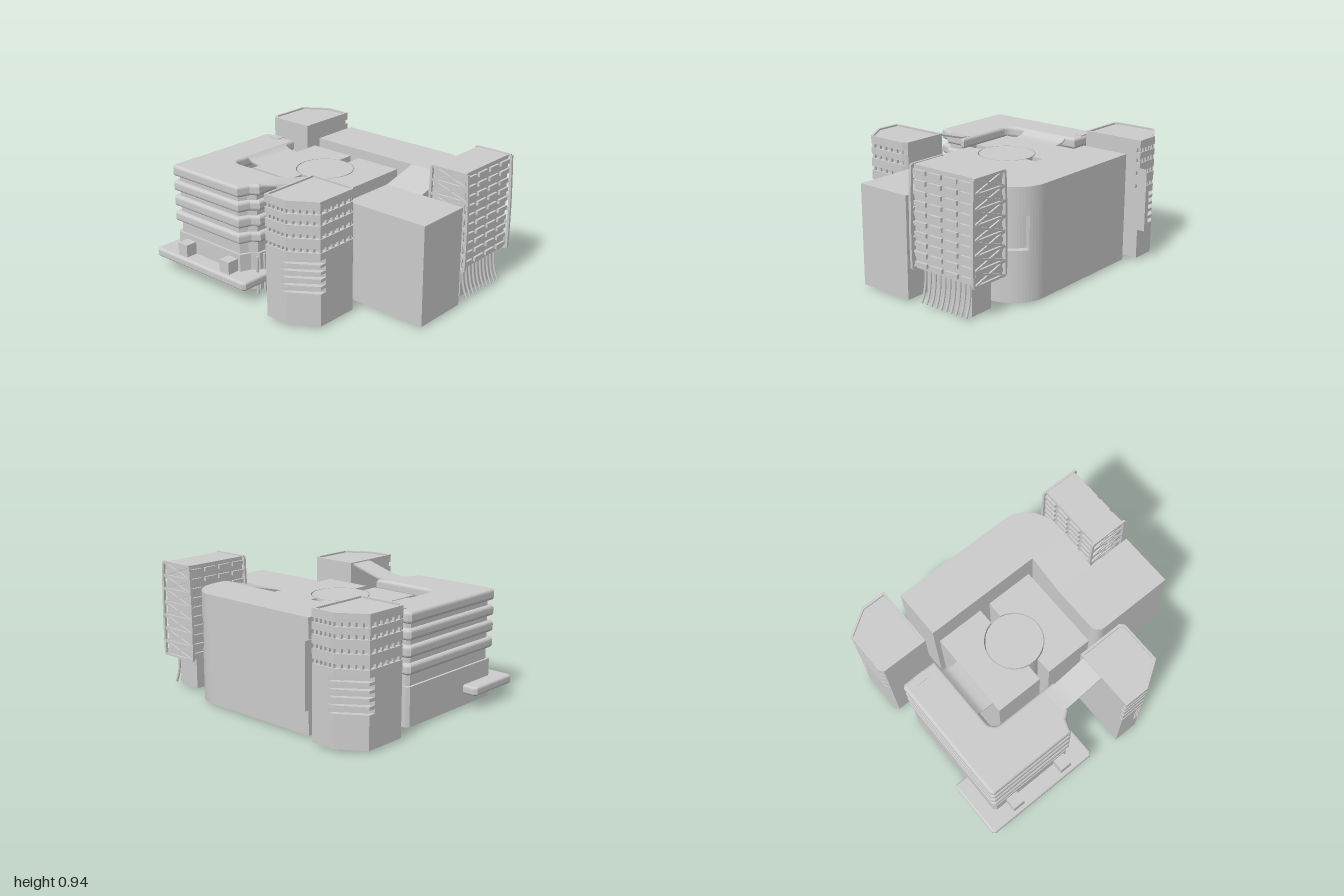
import * as THREE from 'three';

const mat = new THREE.MeshStandardMaterial({ color: 0xcccccc, side: THREE.DoubleSide });

function add(parent, geo, name, x = 0, y = 0, z = 0) {
  const m = new THREE.Mesh(geo, mat);
  m.name = name;
  m.position.set(x, y, z);
  parent.add(m);
  return m;
}

// box given by its minimum and maximum corners
function block(parent, name, x0, x1, y0, y1, z0, z1) {
  return add(parent, new THREE.BoxGeometry(x1 - x0, y1 - y0, z1 - z0), name,
    (x0 + x1) / 2, (y0 + y1) / 2, (z0 + z1) / 2);
}

// vertical prism over a ground plan of [x, z] points, with optional rounded rim
function prism(parent, name, plan, y0, y1, round = 0, hole = null) {
  const toV = (pts) => pts.map(([x, z]) => new THREE.Vector2(x, -z));
  const shape = new THREE.Shape(toV(plan));
  if (hole) shape.holes.push(new THREE.Path(toV(hole)));
  const geo = new THREE.ExtrudeGeometry(shape, {
    depth: y1 - y0 - 2 * round, bevelEnabled: round > 0, bevelSize: round,
    bevelThickness: round, bevelOffset: -round, bevelSegments: 4,
  });
  geo.rotateX(-Math.PI / 2);
  return add(parent, geo, name, 0, y0 + round, 0);
}

// points along an elliptical arc in plan, angles in degrees
function arc(cx, cz, rx, rz, a0, a1, n = 12) {
  return Array.from({ length: n + 1 }, (_, i) => {
    const a = THREE.MathUtils.degToRad(a0 + (a1 - a0) * i / n);
    return [cx + rx * Math.cos(a), cz + rz * Math.sin(a)];
  });
}

// straight bar between two points
function bar(parent, name, a, b, t) {
  const p = new THREE.Vector3(...a), q = new THREE.Vector3(...b);
  const m = add(parent, new THREE.BoxGeometry(t, t, p.distanceTo(q)), name);
  m.position.copy(p).add(q).multiplyScalar(0.5);
  m.lookAt(q);
}

// curved roof sheet: profile of [x, y] points swept along z
function roofSheet(parent, name, pts, z0, z1, t = 0.012) {
  const top = new THREE.SplineCurve(pts.map((p) => new THREE.Vector2(...p))).getPoints(12);
  const low = top.map((p) => new THREE.Vector2(p.x, p.y - t)).reverse();
  const geo = new THREE.ExtrudeGeometry(new THREE.Shape([...top, ...low]), { depth: z1 - z0, bevelEnabled: false });
  add(parent, geo, name, 0, 0, z0);
}

// banded office wing with rounded floor edges
function officeWing() {
  const g = new THREE.Group();
  g.name = 'officeWing';
  const plan = (d) => [
    [-0.905 + d, -0.2 + d], [-0.885 + d, -0.22 + d], [-0.63 - d, -0.22 + d],
    ...arc(-0.56, 0.33, 0.07 + d, 0.07 + d, 180, 90, 6),
    [-0.11 - d, 0.4 + d], [-0.11 - d, 0.43], [-0.16 - d, 0.45], [-0.16 - d, 0.61],
    [-0.21 - d, 0.65], [-0.24 - d, 0.735 - d], [-0.885 + d, 0.735 - d], [-0.905 + d, 0.715 - d],
  ];
  prism(g, 'officeCore', plan(0.03), 0.25, 0.75);
  prism(g, 'officeBase', plan(0.012), 0.015, 0.29);
  for (const [y0, y1] of [[0.37, 0.445], [0.485, 0.565], [0.6, 0.675], [0.71, 0.79]])
    prism(g, 'floorBand', plan(0), y0, y1, 0.022);
  block(g, 'roofHatch', -0.82, -0.73, 0.78, 0.795, -0.21, -0.15);
  // canopy with two blocks on top
  const r = 0.02;
  prism(g, 'canopy', [[-1 + r, 0.4], [-0.1 - r, 0.4], [-0.1, 0.4 + r], [-0.1, 0.84 - r],
    [-0.1 - r, 0.84], [-1 + r, 0.84], [-1, 0.84 - r], [-1, 0.4 + r]], 0.1, 0.165, 0.018);
  for (const x of [-0.745, -0.32]) block(g, 'canopyBlock', x - 0.045, x + 0.045, 0.16, 0.255, 0.72, 0.81);
  // entrance posts
  for (let i = 0; i < 4; i++)
    add(g, new THREE.CylinderGeometry(0.01, 0.01, 0.28, 8), 'entrancePost', -0.16, 0.14, 0.44 + i * 0.07);
  return g;
}

// chamfered stair tower, centred on its own plan, chamfer toward +x +z
function stairTower(name) {
  const g = new THREE.Group();
  g.name = name;
  const X = 0.183, Z = 0.23;
  // d insets the three window faces, c insets only the chamfer
  const plan = (d, c) => [[-X, -Z], [X - 0.025, -Z], [X - d * 0.3, -Z + 0.03], [X - d, -Z + 0.04],
    [X - d, Z - 0.12 - d * 0.6 - c], [-d * 0.6 - c, Z - d], [-X, Z - d]];
  let y = 0.015;
  const layer = (y1, d, c) => { prism(g, 'towerSection', plan(d, c), y, y1); y = y1; };
  // slits on the chamfer
  for (const s of [0.245, 0.298, 0.35, 0.4, 0.45]) { layer(s, 0, 0); layer(s + 0.03, 0, 0.05); }
  // window rows round three faces
  for (const w of [0.53, 0.625, 0.715, 0.79]) {
    layer(w, 0, 0);
    layer(w + 0.03, 0.03, 0);
    const faces = [[[X, -Z + 0.06], [X, Z - 0.12]], [[X, Z - 0.12], [0, Z]], [[0, Z], [-X, Z]]];
    for (const [a, b] of faces) for (let i = 0; i < 5; i++) {
      const t = i / 5;
      add(g, new THREE.BoxGeometry(0.018, 0.03, 0.018), 'mullion',
        a[0] + (b[0] - a[0]) * t - 0.015, w + 0.015, a[1] + (b[1] - a[1]) * t - 0.015);
    }
  }
  layer(0.865, 0, 0);
  const rim = plan(0, 0).map(([x, z]) => [x * 0.92, z * 0.92]);
  prism(g, 'parapet', plan(0, 0), 0.865, 0.877, 0, rim);
  return g;
}

// angular rear wing with a rounded corner, sloping down to the front block
function rearWing() {
  const g = new THREE.Group();
  g.name = 'rearWing';
  const plan = (mid) => [[-0.52, -0.74], ...arc(0.4, -0.44, 0.255, 0.3, -90, -65, 5), ...mid,
    ...arc(0.4, -0.44, 0.255, 0.3, -25, 0, 5), [0.655, -0.38], [-0.52, -0.38]];
  const full = plan(arc(0.4, -0.44, 0.255, 0.3, -60, -30, 6));
  const cut = plan(arc(0.4, -0.44, 0.21, 0.25, -65, -25, 8));
  prism(g, 'wingLower', full, 0.015, 0.37);
  prism(g, 'wingWindowLevel', cut, 0.37, 0.6);
  prism(g, 'wingUpper', full, 0.6, 0.79);
  // sloping link, profile in z and y swept along x
  const side = new THREE.Shape([[0.38, 0.015], [0.38, 0.79], [0.1, 0.72], [0.1, 0.015]].map((p) => new THREE.Vector2(...p)));
  const link = new THREE.ExtrudeGeometry(side, { depth: 0.3, bevelEnabled: false });
  link.rotateY(Math.PI / 2);
  add(g, link, 'slopingLink', 0.355, 0, 0);
  prism(g, 'frontBlock', [[0.355, -0.1], [0.985, -0.1], [0.985, 0.31],
    ...arc(0.425, 0.24, 0.07, 0.07, 90, 180, 8)], 0.015, 0.72);
  return g;
}

// two courtyard halves round a drum
function courtyard() {
  const g = new THREE.Group();
  g.name = 'courtyardHall';
  const half = [[-0.39, -0.32], [-0.04, -0.32], ...arc(0, 0, 0.205, 0.205, 259, 101, 24), [-0.04, 0.32], [-0.39, 0.32]];
  for (const s of [1, -1])
    prism(g, 'courtyardHalf', half.map(([x, z]) => [x * s - 0.12, z]), 0.015, 0.75);
  add(g, new THREE.CylinderGeometry(0.197, 0.197, 0.735, 48), 'drum', -0.12, 0.3825, 0);
  return g;
}

// raised panel tower with braced ends on a ribbed foot
function panelTower() {
  const g = new THREE.Group();
  g.name = 'panelTower';
  block(g, 'panelBody', 0.71, 0.96, 0.245, 0.93, -0.655, -0.155);
  for (let r = 0; r < 10; r++) for (let c = 0; c < 4; c++) for (const x of [0.708, 0.962])
    add(g, new THREE.BoxGeometry(0.03, 0.03, 0.1), 'windowPanel', x, 0.28 + r * 0.0675, -0.21 - c * 0.13);
  // bowed end frames with cross bracing
  const half = (y) => 0.14 + 0.013 * Math.sin(Math.PI * (0.935 - y) / 0.9);
  const cx = 0.838, bays = 7, step = 0.68 / bays;
  for (const z of [-0.147, -0.663]) {
    for (let i = 0; i <= bays; i++) {
      const y = 0.247 + i * step, h = half(y);
      bar(g, 'frameRail', [cx - h, y, z], [cx + h, y, z], 0.016);
      if (i === bays) continue;
      const y2 = y + step, h2 = half(y2);
      for (const s of [1, -1]) {
        bar(g, 'framePost', [cx + s * h, y, z], [cx + s * h2, y2, z], 0.018);
        bar(g, 'crossBrace', [cx - s * h, y, z], [cx + s * h2, y2, z], 0.012);
      }
    }
  }
  block(g, 'towerFoot', 0.74, 0.92, 0.015, 0.25, -0.59, -0.21);
  // curved ribs at the foot
  for (let i = 0; i < 10; i++) {
    const z = -0.21 - i * 0.042;
    const curve = new THREE.CatmullRomCurve3([[0.93, 0.25], [0.935, 0.16], [0.95, 0.08], [0.975, 0.02]]
      .map(([x, y]) => new THREE.Vector3(x, y, z)));
    add(g, new THREE.TubeGeometry(curve, 8, 0.009, 6), 'footRib');
  }
  return g;
}

export function createModel() {
  const model = new THREE.Group();
  model.name = 'buildingComplex';
  model.add(officeWing(), rearWing(), courtyard(), panelTower());

  const front = stairTower('frontStairTower');
  front.position.set(0.313, 0, 0.62);
  const back = stairTower('backStairTower');
  back.position.set(-0.787, 0, -0.57);
  back.rotation.y = Math.PI;
  model.add(front, back);
  block(model, 'towerFin', -0.606, -0.6, 0.23, 0.68, -0.86, -0.79);

  // curved roofs linking the wing to the tower and the hall
  roofSheet(model, 'towerLinkRoof', [[-0.2, 0.79], [-0.1, 0.803], [0.03, 0.84], [0.135, 0.87]], 0.42, 0.6);
  roofSheet(model, 'hallLinkRoof', [[-0.64, 0.785], [-0.59, 0.755], [-0.505, 0.745]], -0.13, 0.25);
  return model;
}
